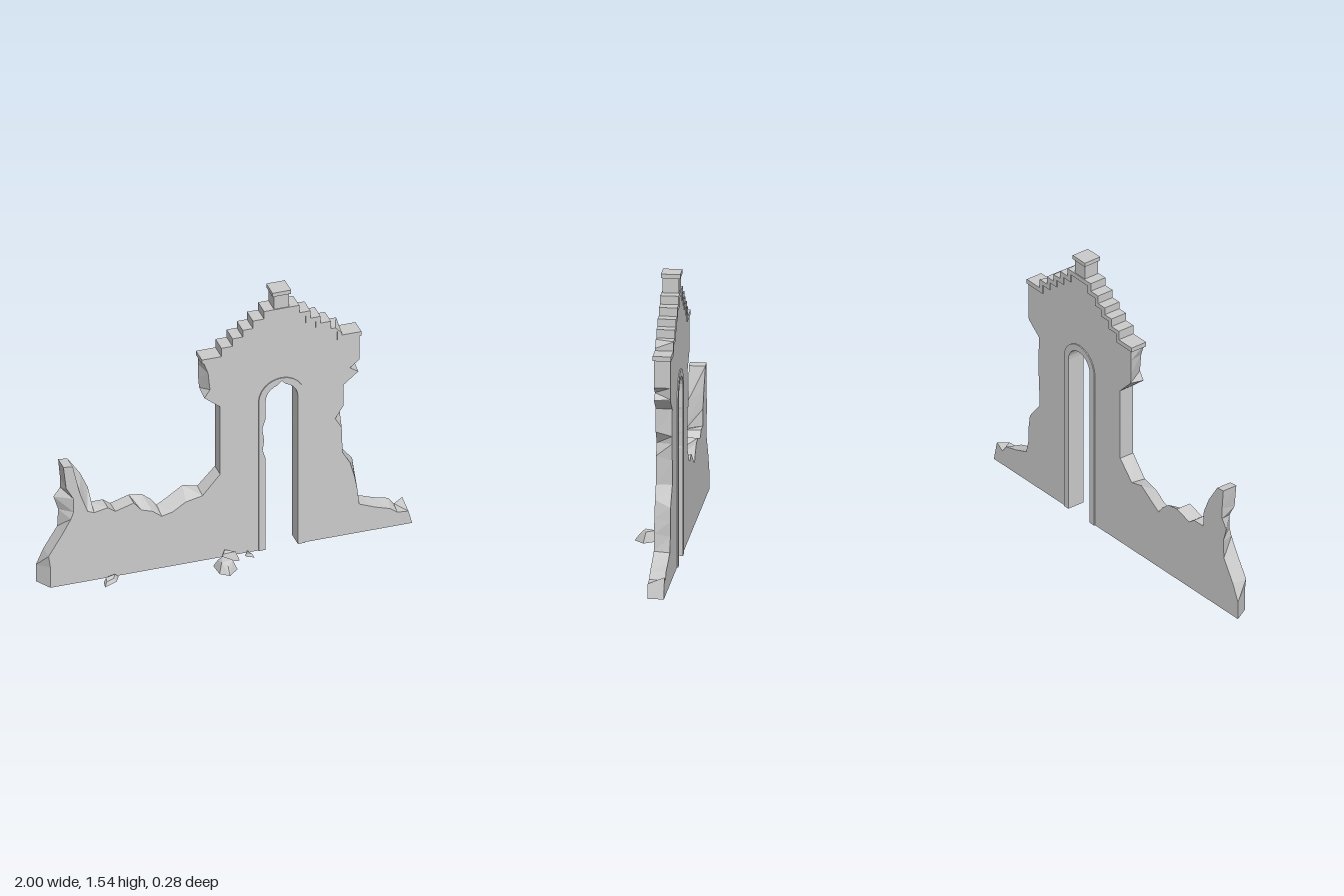
import * as THREE from 'three';
import { ConvexGeometry } from 'three/addons/geometries/ConvexGeometry.js';

const stone = new THREE.MeshStandardMaterial({ color: 0xcccccc, flatShading: true });
const CX = 0.295; // centre line of the gatehouse

// Solid between a front and a back outline; each point is [x, y] or [frontX, frontY, backX, backY]
function slab(name, points, zFront, zBack) {
  let front = points.map(p => new THREE.Vector2(p[0], p[1]));
  let back = points.map(p => new THREE.Vector2(p[2] ?? p[0], p[3] ?? p[1]));
  if (THREE.ShapeUtils.isClockWise(front)) { front.reverse(); back.reverse(); }
  const pos = [];
  const put = (p, z) => pos.push(p.x, p.y, z);
  for (const [a, b, c] of THREE.ShapeUtils.triangulateShape(front, [])) {
    [a, b, c].forEach(i => put(front[i], zFront));
  }
  for (const [a, b, c] of THREE.ShapeUtils.triangulateShape(back, [])) {
    [a, c, b].forEach(i => put(back[i], zBack));
  }
  front.forEach((f, i) => {
    const j = (i + 1) % front.length;
    put(f, zFront); put(back[i], zBack); put(back[j], zBack);
    put(f, zFront); put(back[j], zBack); put(front[j], zFront);
  });
  const geo = new THREE.BufferGeometry();
  geo.setAttribute('position', new THREE.Float32BufferAttribute(pos, 3));
  geo.computeVertexNormals();
  return named(name, geo);
}

function named(name, geo) {
  const mesh = new THREE.Mesh(geo, stone);
  mesh.name = name;
  return mesh;
}

function block(name, w, y0, y1, z0, z1) {
  const mesh = named(name, new THREE.BoxGeometry(w, y1 - y0, z1 - z0));
  mesh.position.set(CX, (y0 + y1) / 2, (z0 + z1) / 2);
  return mesh;
}

// Crow-stepped gable, right half from the eaves up, inset by d
const treads = [[0.325, 1.21], [0.265, 1.26], [0.21, 1.305], [0.155, 1.345], [0.095, 1.39]];
const tops = [1.26, 1.305, 1.345, 1.39, 1.435];
const halfX = [0.325, 0.265, 0.21, 0.155, 0.095];
const halfSteps = (d) => treads.flatMap(([, y], i) => [[halfX[i] - d, y - d], [halfX[i] - d, tops[i] - d]]);

// Left-to-right stair line from a half profile
const bothSides = (half) => [
  ...half.map(([x, y]) => [CX - x, y]),
  ...half.map(([x, y]) => [CX + x, y]).reverse(),
];

// Arch line from the left foot over the crown to the right foot
function archLine(r) {
  const pts = [[CX - r, 0]];
  for (let i = 0; i <= 12; i++) {
    const a = Math.PI * (1 - i / 12);
    pts.push([CX + r * Math.cos(a), 0.893 + r * Math.sin(a)]);
  }
  return [...pts, [CX + r, 0]];
}

function createModel() {
  const model = new THREE.Group();
  model.name = 'ruinedGateway';

  // Broken wall: the front and back edges break at different places
  const leftEdge = [
    [-0.95, 0, -1, 0], [-0.95, 0.12, -1, 0.1], [-0.96, 0.19], [-0.885, 0.31],
    [-0.84, 0.39, -0.88, 0.41], [-0.825, 0.43, -0.905, 0.49], [-0.825, 0.51, -0.87, 0.54],
    [-0.865, 0.58, -0.87, 0.6], [-0.88, 0.71], [-0.83, 0.705],
    [-0.79, 0.53, -0.76, 0.6], [-0.75, 0.42, -0.72, 0.51], [-0.715, 0.405, -0.715, 0.42],
    [-0.64, 0.42], [-0.6, 0.39], [-0.5, 0.42], [-0.46, 0.37, -0.43, 0.41],
    [-0.4, 0.35, -0.38, 0.37], [-0.35, 0.31, -0.35, 0.33], [-0.29, 0.325, -0.3, 0.36],
    [-0.22, 0.37, -0.21, 0.42], [-0.13, 0.39, -0.13, 0.4], [-0.035, 0.5], [-0.035, 0.905],
    [-0.12, 0.975, -0.12, 0.99], [-0.09, 1.02, -0.125, 1.05], [-0.1, 1.12, -0.125, 1.13],
  ];
  const rightEdge = [
    [0.715, 1.04], [0.665, 1.0, 0.715, 0.98], [0.71, 0.97], [0.63, 0.905],
    [0.63, 0.78, 0.635, 0.76], [0.585, 0.71, 0.635, 0.72], [0.62, 0.65, 0.63, 0.63], [0.625, 0.5],
    [0.665, 0.43, 0.705, 0.4], [0.69, 0.34, 0.715, 0.33], [0.705, 0.26, 0.715, 0.25],
    [0.715, 0.17, 0.735, 0.17], [0.8, 0.135, 0.82, 0.14], [0.88, 0.11, 0.9, 0.12],
    [0.92, 0.08, 0.93, 0.08], [0.98, 0.075, 0.975, 0.11], [1, 0],
  ];
  const gable = bothSides([[0.42, 1.19], ...halfSteps(0.02)]);
  model.add(slab('wall', [...leftEdge, ...gable, ...rightEdge, ...archLine(0.112).reverse()], -0.047, -0.132));

  // Stepped coping band with one chipped corner on the right
  const outer = bothSides([[0.43, 1.185], [0.43, 1.21],
    ...halfSteps(0)]);
  const chip = outer.findIndex(([x, y]) => Math.abs(x - CX - 0.325) < 1e-6 && y > 1.25);
  outer.splice(chip, 1,
    [CX + 0.29, 1.26, CX + 0.324, 1.26], [CX + 0.325, 1.222, CX + 0.325, 1.259]);
  const innerHalf = halfSteps(0.025);
  const inner = bothSides(innerHalf).reverse();
  model.add(slab('steppedCoping', [...outer, ...inner], -0.042, -0.137));

  // Arch surround, broken at the crown and on the left jamb
  const opening = archLine(0.087);
  opening[7] = [CX, 1.0, CX, 0.98];
  opening.splice(1, 0,
    [0.208, 0.55], [0.192, 0.6, 0.208, 0.58], [0.2, 0.66, 0.208, 0.66],
    [0.19, 0.73, 0.208, 0.73], [0.208, 0.79]);
  model.add(slab('archSurround', [...archLine(0.124), ...opening.reverse()], -0.041, -0.138));

  // Finial on the gable
  model.add(block('finialShaft', 0.08, 1.42, 1.516, -0.132, -0.047));
  model.add(block('finialCap', 0.1, 1.515, 1.537, -0.14, -0.04));

  // Fallen stones: plan outline and a smaller raised top
  const stones = [
    { h: 0.025, plan: [[-0.685, 0.04], [-0.675, -0.01], [-0.64, -0.043], [-0.585, -0.04], [-0.61, 0.005]], peak: [-0.645, -0.01] },
    { h: 0.055, plan: [[-0.095, 0.02], [-0.05, 0.012], [-0.02, 0.04], [0.012, 0.09], [-0.045, 0.14], [-0.09, 0.105]], peak: [-0.045, 0.06] },
    { h: 0.05, plan: [[-0.05, -0.01], [-0.03, -0.042], [0.01, -0.042], [0.05, 0.015], [0.01, 0.01]], peak: [0.005, -0.02] },
    { h: 0.02, plan: [[0.09, -0.02], [0.105, -0.045], [0.13, 0.01], [0.1, -0.005]], peak: [0.11, -0.02] },
  ];
  stones.forEach(({ h, plan, peak }, i) => {
    const pts = plan.flatMap(([x, z], k) => [
      new THREE.Vector3(x, 0, z),
      new THREE.Vector3(
        THREE.MathUtils.lerp(peak[0], x, 0.6), h * (k % 2 ? 1 : 0.75), THREE.MathUtils.lerp(peak[1], z, 0.6)),
    ]);
    model.add(named('fallenStone' + (i + 1), new ConvexGeometry(pts)));
  });

  return model;
}

export { createModel };
